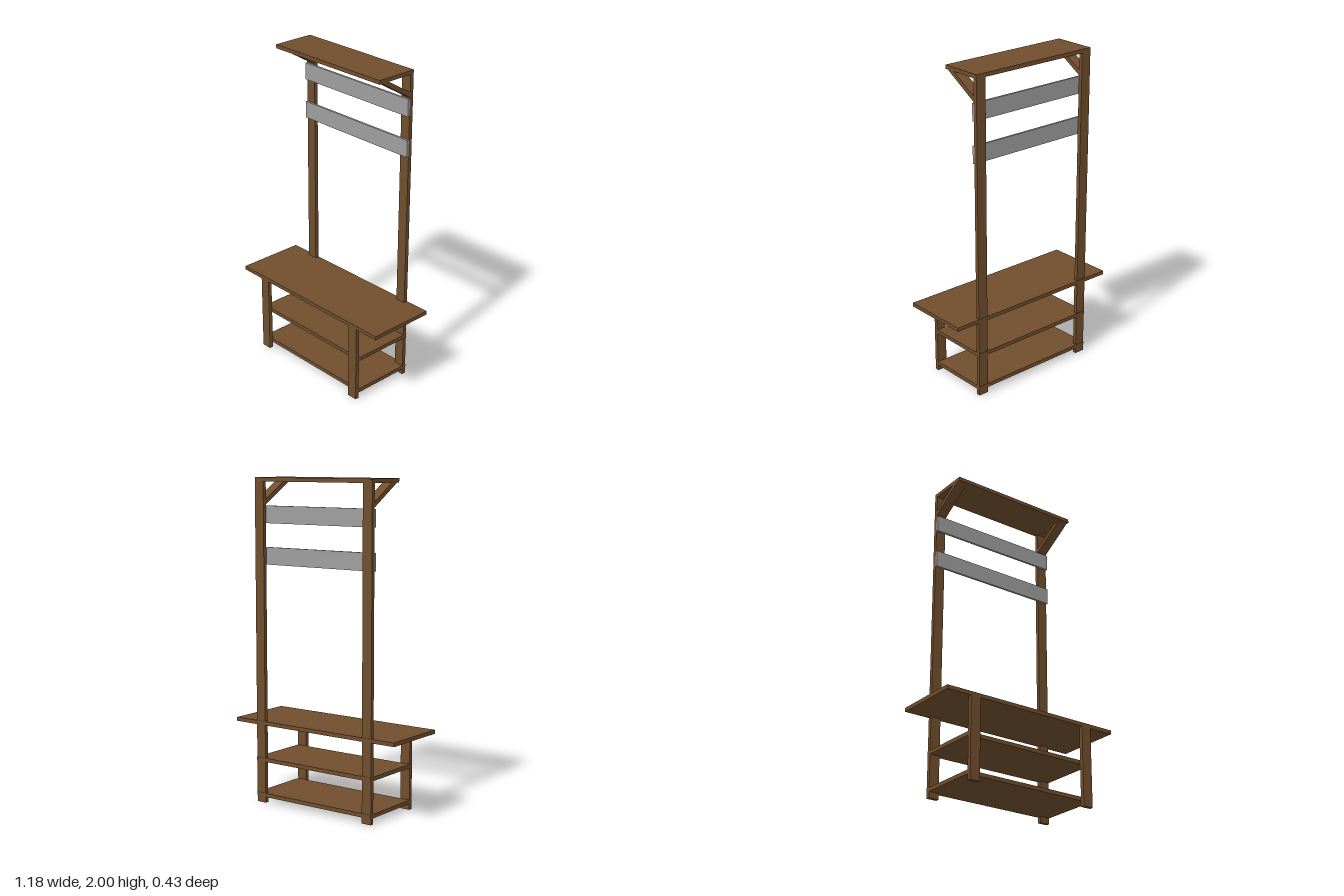
import * as THREE from 'three';

export function createModel() {
  const group = new THREE.Group();
  const wood = new THREE.MeshStandardMaterial({ name: 'brown wood', color: 0x704e2d });
  const grey = new THREE.MeshStandardMaterial({ name: 'grey panel', color: 0x9e9e9e });

  // Box given by its extents along each axis
  function box(name, material, [x0, x1], [y0, y1], [z0, z1]) {
    const mesh = new THREE.Mesh(new THREE.BoxGeometry(x1 - x0, y1 - y0, z1 - z0), material);
    mesh.position.set((x0 + x1) / 2, (y0 + y1) / 2, (z0 + z1) / 2);
    mesh.name = name;
    group.add(mesh);
  }

  const outer = 0.431, inner = 0.366, postWidth = outer - inner;
  const back = -0.216, postBack = -0.213, postFront = -0.189;
  const legBack = 0.191, front = 0.216;
  const width = [-outer, outer];

  // Horizontal boards: bench seat, two shoe shelves, hat shelf
  box('benchSeat', wood, [-0.592, 0.592], [0.49, 0.514], [back, front]);
  box('middleShelf', wood, width, [0.26, 0.284], [back, legBack]);
  box('bottomShelf', wood, width, [0.037, 0.061], [back, legBack]);
  box('hatShelf', wood, width, [1.976, 2], [postBack, 0.055]);

  // Diagonal bracket profile, drawn in (z, y) and extruded along x
  const profile = new THREE.Shape([
    [postFront, 1.84], [0.035, 1.976], [-0.018, 1.976], [postFront, 1.872],
  ].map(([z, y]) => new THREE.Vector2(-z, y)));
  const bracketGeometry = new THREE.ExtrudeGeometry(profile, { depth: postWidth, bevelEnabled: false });
  bracketGeometry.rotateY(Math.PI / 2);

  // Mirrored uprights, front legs and brackets
  for (const [side, x0] of [['left', inner], ['right', -outer]]) {
    const span = [x0, x0 + postWidth];
    box(side + 'Post', wood, span, [0, 2], [postBack, postFront]);
    box(side + 'FrontLeg', wood, span, [0, 0.49], [legBack, front]);
    const bracket = new THREE.Mesh(bracketGeometry, wood);
    bracket.position.x = x0;
    bracket.name = side + 'Bracket';
    group.add(bracket);
  }

  // Grey coat rails across the posts
  box('upperCoatRail', grey, width, [1.727, 1.832], [postFront, -0.175]);
  box('lowerCoatRail', grey, width, [1.478, 1.583], [postFront, -0.175]);

  return group;
}
